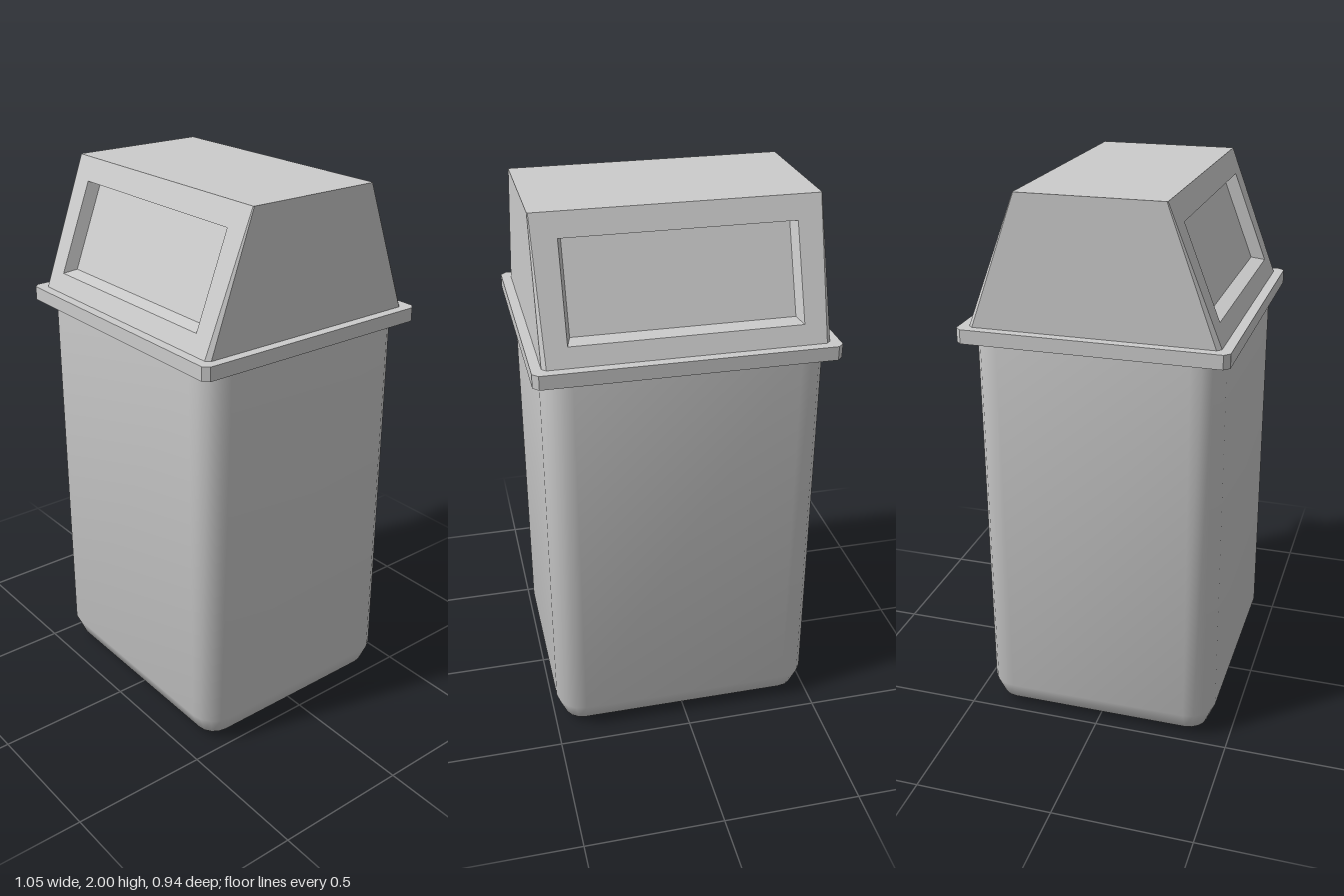
import * as THREE from 'three';
import { toCreasedNormals } from 'three/addons/utils/BufferGeometryUtils.js';

const grey = new THREE.MeshStandardMaterial({ color: 0xcccccc });
const HOOD_BASE = 1.535, HOOD_TOP = 2;

function mesh(name, geometry) {
  const m = new THREE.Mesh(geometry, grey);
  m.name = name;
  return m;
}

// Flat-shaded geometry from four-cornered faces, corners counter-clockwise
function quads(list) {
  const pos = [];
  for (const [a, b, c, d] of list) pos.push(...a, ...b, ...c, ...a, ...c, ...d);
  const g = new THREE.BufferGeometry();
  g.setAttribute('position', new THREE.Float32BufferAttribute(pos, 3));
  g.computeVertexNormals();
  return g;
}

// Bin body: rounded rectangles lofted upward, tucked in at the bottom
function bodyGeometry() {
  const W = 0.49, D = 0.435, R = 0.1, SEG = 4;
  const rows = [[0, 0.09], [0.03, 0.03], [0.1, 0], [1.51, 0]]; // height, inset
  const pos = [], idx = [], n = 4 * (SEG + 1);
  for (const [y, inset] of rows) {
    for (let q = 0; q < 4; q++) {
      const sx = q === 0 || q === 3 ? 1 : -1, sz = q < 2 ? 1 : -1;
      for (let i = 0; i <= SEG; i++) {
        const a = (q + i / SEG) * Math.PI / 2, r = R - inset;
        pos.push(sx * (W - R) + r * Math.cos(a), y, sz * (D - R) + r * Math.sin(a));
      }
    }
  }
  for (let j = 0; j < rows.length - 1; j++) {
    for (let i = 0; i < n; i++) {
      const a = j * n + i, b = j * n + (i + 1) % n;
      idx.push(a, a + n, b, b, a + n, b + n);
    }
  }
  const top = (rows.length - 1) * n;
  for (let i = 1; i < n - 1; i++) {
    idx.push(0, i, i + 1);
    idx.push(top, top + i + 1, top + i);
  }
  const g = new THREE.BufferGeometry();
  g.setAttribute('position', new THREE.Float32BufferAttribute(pos, 3));
  g.setIndex(idx);
  return toCreasedNormals(g, 0.9);
}

// Rim: slab with clipped corners
function rimGeometry() {
  const w = 0.525, d = 0.47, c = 0.02;
  const s = new THREE.Shape([
    [w - c, -d], [w, c - d], [w, d - c], [w - c, d],
    [c - w, d], [-w, d - c], [-w, c - d], [c - w, -d],
  ].map(p => new THREE.Vector2(...p)));
  const g = new THREE.ExtrudeGeometry(s, { depth: 0.05, bevelEnabled: false });
  return g.rotateX(-Math.PI / 2).translate(0, 1.485, 0);
}

// Point on the sloping front of the hood, pushed back by depth
const slope = (x, y, depth = 0) =>
  [x, y, 0.435 - 0.18 * (y - HOOD_BASE) / (HOOD_TOP - HOOD_BASE) - depth];

const loop = (xLow, xHigh, y0, y1, depth) => [
  slope(-xLow, y0, depth), slope(xLow, y0, depth),
  slope(xHigh, y1, depth), slope(-xHigh, y1, depth),
];

const band = (outer, inner) => outer.map((p, i) => {
  const k = (i + 1) % 4;
  return [p, outer[k], inner[k], inner[i]];
});

// Half of the hood; the other half is the same turned around
function hoodHalf(name) {
  const face = loop(0.475, 0.487, HOOD_BASE, HOOD_TOP);
  const opening = loop(0.4, 0.4, 1.6, 1.92);
  const recess = loop(0.385, 0.385, 1.61, 1.915, 0.046);
  const x = 0.49, lo = 0.42, hi = 0.252;
  const [, fb, ft] = face;
  const back = p => [p[0], p[1], -p[2]];
  const sb = [x, HOOD_BASE, lo], st = [x, HOOD_TOP, hi];
  const half = new THREE.Group();
  half.name = name;
  half.add(
    mesh('openingFrame', quads(band(face, opening))),
    mesh('openingRecess', quads(band(opening, recess))),
    mesh('flap', quads([recess])),
    mesh('sideWall', quads([
      [fb, sb, st, ft],
      [sb, back(sb), back(st), st],
      [back(sb), back(fb), back(ft), back(st)],
    ])),
    mesh('roof', quads([[
      [-x, HOOD_TOP, 0.255], [x, HOOD_TOP, 0.255], [x, HOOD_TOP, 0], [-x, HOOD_TOP, 0],
    ]])),
  );
  return half;
}

export function createModel() {
  const model = new THREE.Group();
  model.name = 'litterBin';
  const backHalf = hoodHalf('hoodBack');
  backHalf.rotation.y = Math.PI;
  model.add(
    mesh('body', bodyGeometry()),
    mesh('rim', rimGeometry()),
    hoodHalf('hoodFront'),
    backHalf,
  );
  return model;
}
